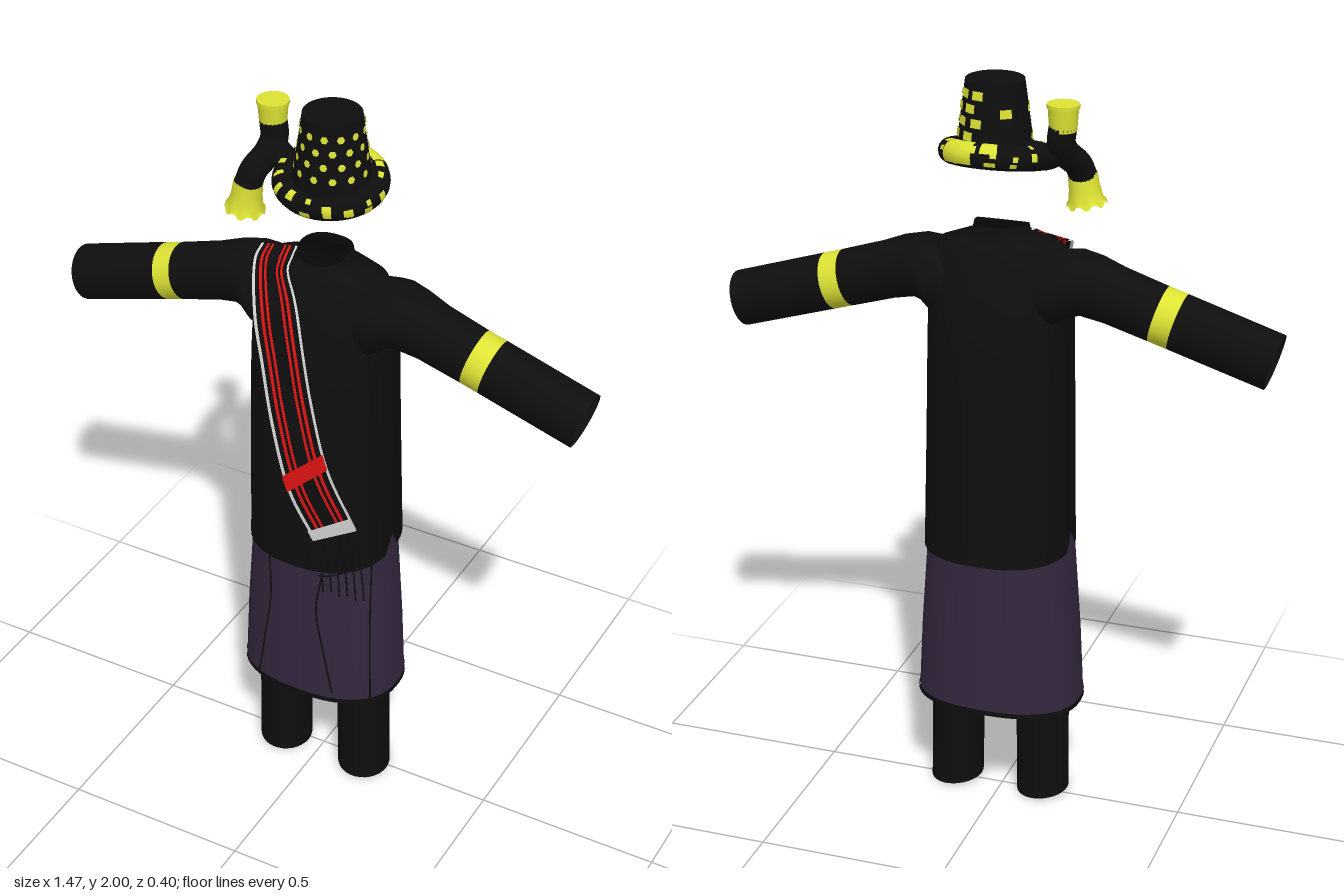
import * as THREE from 'three';

const V = (x, y, z) => new THREE.Vector3(x, y, z);
const mat = (name, color, side = THREE.DoubleSide) => {
  const m = new THREE.MeshStandardMaterial({ color, side });
  m.name = name;
  return m;
};

// Skin a grid of points; wrap joins the last column to the first
function loft(rows, wrap = true) {
  const n = rows[0].length, index = [];
  for (let i = 0; i < rows.length - 1; i++) {
    for (let j = 0; j < (wrap ? n : n - 1); j++) {
      const a = i * n + j, b = i * n + (j + 1) % n;
      index.push(a, a + n, b, b, a + n, b + n);
    }
  }
  const g = new THREE.BufferGeometry().setFromPoints(rows.flat());
  g.setIndex(index);
  g.computeVertexNormals();
  return g;
}

// Garment sections: [y, half width, front z, back z]
const TORSO = [
  [0.75, 0.195, 0.17, -0.2], [0.82, 0.193, 0.169, -0.198], [1.0, 0.19, 0.168, -0.19],
  [1.2, 0.187, 0.162, -0.18], [1.32, 0.186, 0.155, -0.172], [1.4, 0.185, 0.143, -0.16],
  [1.47, 0.184, 0.125, -0.14], [1.53, 0.18, 0.102, -0.117], [1.57, 0.165, 0.083, -0.097],
  [1.59, 0.11, 0.072, -0.085], [1.6, 0.074, 0.062, -0.075], [1.63, 0.068, 0.058, -0.07],
];
const SKIRT = [[0.3, 0.222, 0.15, -0.165], [0.5, 0.212, 0.149, -0.164], [0.8, 0.19, 0.146, -0.162]];
const POWER = 2.4;

function section([y, rx, zf, zb], count = 48) {
  const cz = (zf + zb) / 2, rz = (zf - zb) / 2, p = 2 / POWER;
  return Array.from({ length: count }, (_, i) => {
    const a = (i / count) * Math.PI * 2, c = Math.cos(a), s = Math.sin(a);
    return V(rx * Math.sign(c) * Math.abs(c) ** p, y, cz + rz * Math.sign(s) * Math.abs(s) ** p);
  });
}

// Height of a garment's front surface at x, y
function frontZ(rings, x, y) {
  let i = 0;
  while (i < rings.length - 2 && rings[i + 1][0] < y) i++;
  const t = THREE.MathUtils.clamp((y - rings[i][0]) / (rings[i + 1][0] - rings[i][0]), 0, 1);
  const [, rx, zf, zb] = rings[i].map((v, k) => v + (rings[i + 1][k] - v) * t);
  const q = 1 - Math.abs(x / rx) ** POWER;
  return q <= 0 ? -1 : (zf + zb) / 2 + (zf - zb) / 2 * q ** (1 / POWER);
}

export function createModel() {
  const black = mat('black cloth', 0x0e0e0e), purple = mat('dark purple cloth', 0x34273e);
  const yellow = mat('yellow', 0xdce234), red = mat('red thread', 0xe01212), white = mat('pale thread', 0xd6d6d6);
  const model = new THREE.Group();
  model.name = 'costume';
  const group = (name) => {
    const g = new THREE.Group();
    g.name = name;
    model.add(g);
    return g;
  };
  const add = (name, geo, material, parent = model) => {
    const m = new THREE.Mesh(geo, material);
    m.name = name;
    parent.add(m);
    return m;
  };
  const tube = (pts, r, seg = 16, sides = 6) =>
    new THREE.TubeGeometry(new THREE.CatmullRomCurve3(pts), seg, r, sides);

  // Tunic with side notches in the hem and a collar lower at the front
  const tunic = TORSO.map((r) => section(r));
  tunic[0][0].y += 0.05;
  tunic[0][24].y += 0.05;
  tunic[tunic.length - 1].forEach((p) => { p.y -= 0.02 * Math.max(0, p.z / 0.058); });
  add('tunic', loft(tunic), black);

  // Sleeves with flush bands: [x, centre y, half height, half depth]
  const ARM = [[0.1, 1.46, 0.11, 0.1], [0.17, 1.472, 0.102, 0.118], [0.2, 1.488, 0.089, 0.105],
    [0.24, 1.486, 0.08, 0.09], [0.3, 1.468, 0.075, 0.078], [0.415, 1.432, 0.074, 0.073],
    [0.465, 1.417, 0.074, 0.073], [0.715, 1.34, 0.073, 0.073]];
  for (const side of [-1, 1]) {
    const rings = ARM.map(([x, y, ry, rz]) => Array.from({ length: 32 }, (_, i) => {
      const a = (i / 32) * Math.PI * 2, h = ry * Math.sin(a), lean = x > 0.22 ? 0.28 : 0.1;
      return V(side * (x + h * lean), y + h * 0.96, -0.012 + rz * Math.cos(a));
    }));
    const arm = group(side > 0 ? 'leftSleeve' : 'rightSleeve');
    add('upperSleeve', loft(rings.slice(0, 6)), black, arm);
    add('sleeveBand', loft(rings.slice(5, 7)), yellow, arm);
    add('lowerSleeve', loft(rings.slice(6)), black, arm);
  }

  // Skirt, hem edging and fold lines
  add('skirt', loft(SKIRT.map((r) => section(r))), purple);
  add('skirtHem', loft([[0.298, 0.224, 0.152, -0.167], [0.312, 0.2235, 0.152, -0.167]].map((r) => section(r))), black);
  const folds = [[[-0.13, 0.31], [-0.105, 0.46], [-0.085, 0.6], [-0.09, 0.75]],
    [[0.1, 0.33], [0.075, 0.47], [0.055, 0.6], [0.07, 0.72]],
    [[0.06, 0.72], [0.09, 0.725], [0.13, 0.74]], [[0.19, 0.31], [0.183, 0.55], [0.178, 0.76]]];
  for (const f of folds) {
    add('skirtFold', tube(f.map(([x, y]) => V(x, y, frontZ(SKIRT, x, y))), 0.0025), black);
  }

  // Trouser legs
  for (const [x, lean] of [[-0.11, -0.003], [0.128, 0.006]]) {
    const rings = [0.005, 0.72].map((y) => Array.from({ length: 32 }, (_, i) => {
      const a = (i / 32) * Math.PI * 2;
      return V(x + lean * (1 - y / 0.36) + 0.07 * Math.cos(a), y - (y < 0.1 ? 0.005 * Math.cos(a) : 0), 0.013 + 0.078 * Math.sin(a));
    }));
    add(x > 0 ? 'leftLeg' : 'rightLeg', loft(rings), black);
    const sole = add('legEnd', new THREE.CircleGeometry(0.069, 32), black);
    sole.rotation.x = Math.PI / 2;
    sole.position.set(x + lean, 0.012, 0.013);
  }

  // Sash laid over the chest between two edge curves
  const sash = group('sash');
  const edgeA = new THREE.CatmullRomCurve3([V(-0.178, 1.592, 0), V(-0.172, 1.575, 0.05), V(-0.13, 1.47, 0.13),
    V(-0.09, 1.35, 0.165), V(-0.05, 1.2, 0.19), V(0, 1.0, 0.19), V(0.065, 0.86, 0.175)]);
  const edgeB = new THREE.CatmullRomCurve3([V(-0.075, 1.612, 0), V(-0.06, 1.59, 0.06), V(0, 1.5, 0.13),
    V(0.03, 1.4, 0.155), V(0.06, 1.28, 0.17), V(0.11, 1.1, 0.178), V(0.185, 0.93, 0.165)]);
  const sashPoint = (u, t, lift = 0) => {
    const p = edgeA.getPoint(t).lerp(edgeB.getPoint(t), u);
    p.z = Math.max(p.z, frontZ(TORSO, p.x, p.y) + 0.009) + lift;
    return p;
  };
  const ribbon = (name, u0, u1, t0, t1, lift, material) => {
    const nt = Math.max(2, Math.ceil((t1 - t0) * 40)), nu = Math.max(1, Math.ceil((u1 - u0) * 10));
    const rows = Array.from({ length: nt + 1 }, (_, i) => Array.from({ length: nu + 1 }, (_, j) =>
      sashPoint(u0 + (u1 - u0) * j / nu, t0 + (t1 - t0) * i / nt, lift)));
    add(name, loft(rows, false), material, sash);
  };
  const stops = [0, 0.07, 0.17, 0.24, 0.3, 0.36, 0.64, 0.7, 0.76, 0.83, 0.94, 1];
  const order = [white, black, red, black, red, black, red, black, red, black, white];
  order.forEach((m, i) => ribbon('sashStripe', stops[i], stops[i + 1], 0, 1, 0, m));
  ribbon('sashCrossBand', 0, 1, 0.79, 0.83, 0.004, red);
  ribbon('sashEnd', 0, 1, 0.965, 1, 0.004, white);
  for (let i = 0; i < 6; i++) {
    const p = sashPoint(i / 5, 1);
    const x = 0.09 + i * 0.023;
    add('fringe', tube([p, V(x, 0.78, p.z + 0.005), V(x + 0.003, 0.7 + 0.01 * (i % 2), p.z)], 0.0022, 8, 5), black, sash);
  }

  // Hat crown with scattered spots
  const hat = group('hat');
  const crown = add('crown', new THREE.CylinderGeometry(0.074, 0.1, 0.2, 40), black, hat);
  crown.position.set(0.012, 1.9, -0.02);
  const spot = (a, y, geo) => {
    const r = 0.1 - 0.13 * (y - 1.8) + 0.002;
    const m = add('crownSpot', geo, yellow, hat);
    m.rotation.set(-0.13, a, 0, 'YXZ');
    m.position.set(0.012 + r * Math.sin(a), y, -0.02 + r * Math.cos(a));
  };
  const dot = new THREE.CircleGeometry(0.01, 6), block = new THREE.PlaneGeometry(0.03, 0.022);
  for (let row = 0; row < 4; row++) {
    for (let i = 0; i < 7; i++) spot(-1.5 + i * 0.5 + (row % 2) * 0.25, 1.86 + row * 0.035, dot);
    for (let i = 0; i < 2; i++) spot(2.1 + i * 0.55 + (row % 2) * 0.25, 1.87 + row * 0.034, block);
  }
  spot(-2.5, 1.93, block);

  // Rolled brim, higher at the back, with yellow patches
  const brim = new THREE.Group();
  brim.name = 'brim';
  brim.position.set(0.005, 1.81, -0.025);
  brim.rotation.x = 0.2;
  brim.scale.z = 0.9;
  hat.add(brim);
  const roll = (f0, f1, s0, s1, r, nf, ns) => loft(Array.from({ length: nf + 1 }, (_, i) => {
    const f = f0 + (f1 - f0) * i / nf;
    return Array.from({ length: ns + 1 }, (_, j) => {
      const s = s0 + (s1 - s0) * j / ns, d = 0.118 + r * Math.cos(s);
      return V(d * Math.cos(f), r * Math.sin(s), d * Math.sin(f));
    });
  }), false);
  add('brimRoll', roll(0, Math.PI * 2, -Math.PI, Math.PI, 0.031, 48, 16), black, brim);
  let seed = 7;
  const rand = () => (seed = (seed * 16807) % 2147483647) / 2147483647;
  for (let i = 0; i < 34; i++) {
    const f = i * 0.37, s = -0.9 + rand() * 2.1;
    add('brimPatch', roll(f, f + 0.07 + rand() * 0.13, s, s + 0.3 + rand() * 0.4, 0.0325, 3, 3), yellow, brim);
  }
  add('brimPatch', roll(-1.4, -0.75, -0.7, 1.7, 0.033, 8, 8), yellow, brim);
  add('brimPatch', roll(-1.85, -1.55, 0.3, 1.8, 0.033, 5, 6), yellow, brim);

  // Curved horn at the side of the hat, with a cup on top and a frilled bell below
  const horn = group('sideHorn');
  add('hornTube', tube([V(-0.178, 1.91, -0.065), V(-0.172, 1.865, -0.06), V(-0.178, 1.83, -0.035),
    V(-0.198, 1.795, -0.002), V(-0.208, 1.755, 0.015)], 0.035, 24, 20), black, horn);
  add('hornMount', tube([V(-0.17, 1.845, -0.05), V(-0.13, 1.82, -0.045), V(-0.08, 1.82, -0.035)], 0.033, 12, 16), black, horn);
  add('hornCup', new THREE.CylinderGeometry(0.039, 0.034, 0.065, 24), yellow, horn).position.set(-0.178, 1.93, -0.065);
  add('cupRim', new THREE.CylinderGeometry(0.041, 0.041, 0.01, 24), yellow, horn).position.set(-0.178, 1.96, -0.065);
  const bellRings = [[0, 0.037], [-0.035, 0.039], [-0.065, 0.044], [-0.08, 0.052]].map(([y, r], k) =>
    Array.from({ length: 32 }, (_, i) => {
      const a = (i / 32) * Math.PI * 2, frill = k === 3 ? (i % 4 < 2 ? 0.006 : -0.004) : 0;
      return V(r * Math.cos(a), y + frill, r * Math.sin(a));
    }));
  const bell = add('hornBell', loft(bellRings), yellow, horn);
  bell.position.set(-0.204, 1.768, 0.015);
  bell.rotation.z = -0.15;
  return model;
}
